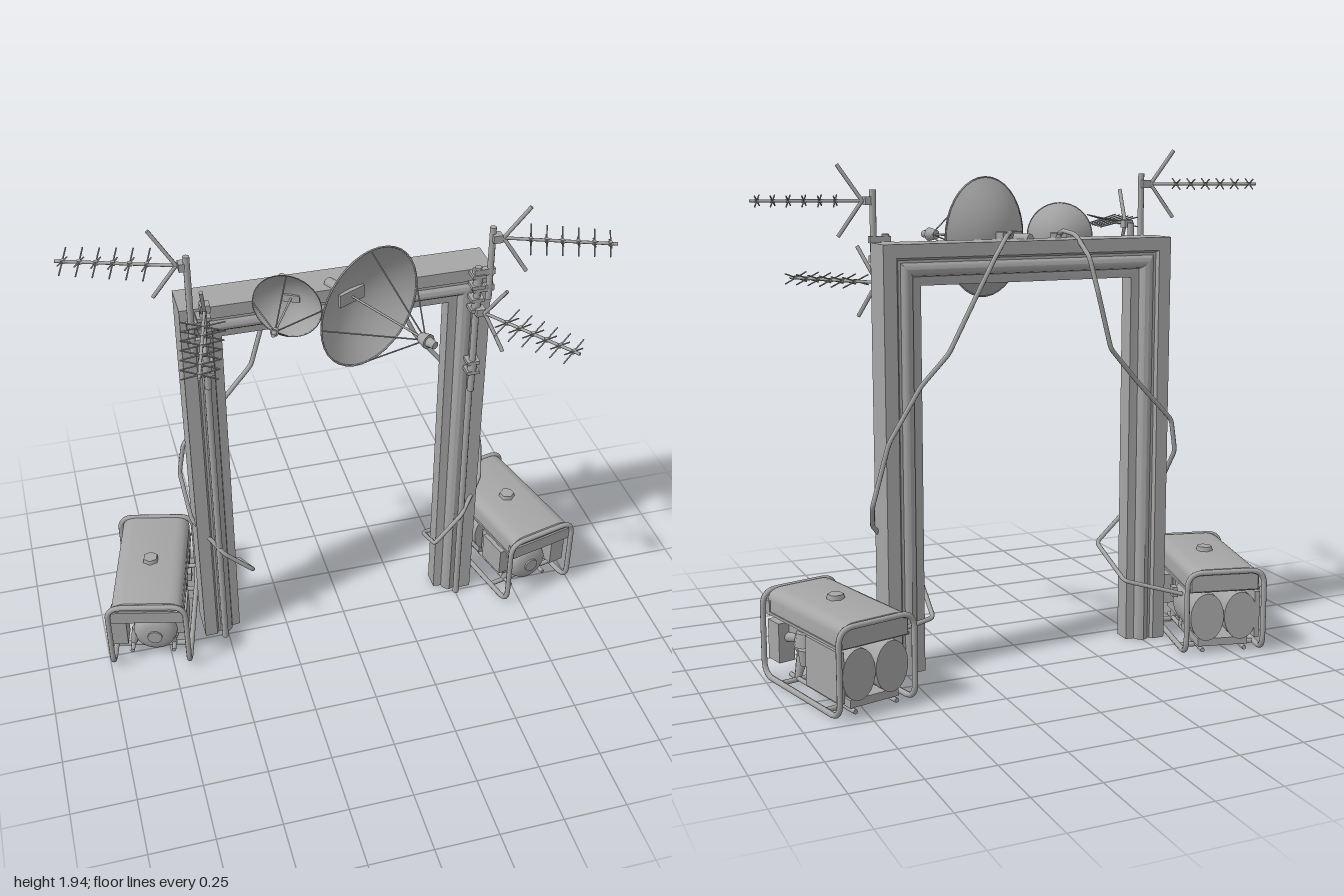
import * as THREE from 'three';
import { toCreasedNormals } from 'three/addons/utils/BufferGeometryUtils.js';

const grey = new THREE.MeshStandardMaterial({ color: 0xa6a6a6 });
grey.name = 'plain grey';
grey.side = THREE.DoubleSide;

const V = (x, y, z) => new THREE.Vector3(x, y, z);
const UP = V(0, 1, 0);

function add(parent, name, geo, x = 0, y = 0, z = 0) {
  const m = new THREE.Mesh(geo, grey);
  m.name = name;
  m.position.set(x, y, z);
  parent.add(m);
  return m;
}
const box = (parent, name, w, h, d, x, y, z) => add(parent, name, new THREE.BoxGeometry(w, h, d), x, y, z);

// Round bar between two points
function rod(parent, name, a, b, r, r2 = r, sides = 8) {
  const d = b.clone().sub(a);
  const m = add(parent, name, new THREE.CylinderGeometry(r2, r, d.length(), sides));
  m.position.copy(a).addScaledVector(d, 0.5);
  m.quaternion.setFromUnitVectors(UP, d.normalize());
  return m;
}

// Tube along straight runs with rounded corners
function bentTube(parent, name, pts, radius, bend, closed, segments) {
  const path = new THREE.CurvePath(), n = pts.length;
  const toward = (p, q) => p.clone().add(q.clone().sub(p).setLength(Math.min(bend, p.distanceTo(q) * 0.45)));
  let cursor = closed ? toward(pts[0], pts[1]) : pts[0];
  for (let i = 1; i <= (closed ? n : n - 2); i++) {
    const p = pts[i % n];
    const inP = toward(p, pts[i - 1]), outP = toward(p, pts[(i + 1) % n]);
    path.add(new THREE.LineCurve3(cursor, inP));
    path.add(new THREE.QuadraticBezierCurve3(inP, p, outP));
    cursor = outP;
  }
  if (!closed) path.add(new THREE.LineCurve3(cursor, pts[n - 1]));
  return add(parent, name, new THREE.TubeGeometry(path, segments, radius, 8, closed));
}

// Moulded door frame: one section swept along a mitred arch
function doorFrame(parent) {
  const L = -0.595, R = 0.572, T = 1.612, F = -0.012, B = -0.155;
  const half = [[0, 0], [0.05, 0], [0.058, 0.014], [0.068, 0.014], [0.078, 0.004], [0.092, 0],
    [0.106, 0.006], [0.116, 0.018], [0.12, 0.032], [0.153, 0.036]];
  const sec = [...half.map(([u, d]) => [u, F - d]), ...half.slice().reverse().map(([u, d]) => [u, B + d])];
  const stations = [u => [L + u, 0], u => [L + u, T - u], u => [R - u, T - u], u => [R - u, 0]];
  const P = (k, [u, z]) => [...stations[k](u), z];
  const pos = [], mid = [0.05, (F + B) / 2];
  sec.forEach((s, i) => {
    const t = sec[(i + 1) % sec.length];
    for (let k = 0; k < 3; k++) {
      const [a, b, c, d] = [P(k, s), P(k, t), P(k + 1, t), P(k + 1, s)];
      pos.push(...a, ...b, ...c, ...a, ...c, ...d);
    }
    pos.push(...P(0, mid), ...P(0, t), ...P(0, s), ...P(3, mid), ...P(3, s), ...P(3, t));
  });
  const g = new THREE.BufferGeometry();
  g.setAttribute('position', new THREE.Float32BufferAttribute(pos, 3));
  add(parent, 'doorFrame', toCreasedNormals(g, 0.6));
}

// Bowl dish with four stays, feed horn and wall bracket; faces local +z
function dish(parent, name, centre, R, depth, reach, yaw) {
  const g = new THREE.Group();
  g.name = name;
  g.position.copy(centre);
  g.rotation.y = yaw;
  parent.add(g);
  const prof = [];
  for (let i = 0; i <= 10; i++) prof.push(new THREE.Vector2(Math.max(R * i / 10, 0.0005), depth * ((i / 10) ** 2 - 1)));
  add(g, 'bowl', new THREE.LatheGeometry(prof, 36)).rotation.x = Math.PI / 2;
  add(g, 'rim', new THREE.TorusGeometry(R, R * 0.015, 6, 36));
  for (let i = 0; i < 4; i++) {
    const a = i * Math.PI / 2;
    rod(g, 'stay', V(R * Math.cos(a), R * Math.sin(a), 0), V(0, 0, reach), 0.0028, 0.0028, 5);
  }
  rod(g, 'feedRod', V(0, 0, -depth), V(0, 0, reach), 0.004);
  rod(g, 'feedHorn', V(0, 0, reach - R * 0.11), V(0, 0, reach + R * 0.06), R * 0.08, R * 0.12, 12);
  rod(g, 'feedCap', V(0, 0, reach + R * 0.06), V(0, 0, reach + R * 0.2), R * 0.08, R * 0.06, 12);
  box(g, 'bracket', R * 0.5, R * 0.22, R * 0.2, 0, 0, -depth - R * 0.02);
  rod(g, 'arm', V(0, 0, -depth), V(0, 0, -depth - R * 0.5), R * 0.09);
}

// Aerial: boom, crossed elements and a V reflector
function aerial(parent, base, tip) {
  const g = new THREE.Group();
  g.name = 'aerial';
  parent.add(g);
  const dir = tip.clone().sub(base).normalize(), len = base.distanceTo(tip);
  const side = V(-dir.z, 0, dir.x);
  const at = (d, s, h) => base.clone().addScaledVector(dir, d).addScaledVector(side, s).setY(base.y + h);
  rod(g, 'boom', base, tip, 0.006);
  for (let i = 0; i < 6; i++) {
    const d = len * (0.3 + 0.128 * i), w = 0.077 - 0.003 * i;
    for (const s of [-1, 1]) rod(g, 'element', at(d, -w, -0.019 * s), at(d, w, 0.019 * s), 0.0028, 0.0028, 5);
    box(g, 'elementClip', 0.014, 0.014, 0.014, ...at(d, 0, 0).toArray());
  }
  for (const s of [-1, 1]) rod(g, 'reflector', at(0.035, 0, 0), at(0.125, 0, 0.13 * s), 0.0075, 0.0075, 6);
  box(g, 'boomClamp', 0.035, 0.03, 0.035, ...at(0.012, 0, 0).toArray());
}

// Masts strapped to the front of one post
function masts(parent, s, x, tall, upper, clamps) {
  rod(parent, 'conduit', V(s * x, 0, 0.008), V(s * x, tall[0], 0.008), 0.013, 0.013, 10);
  rod(parent, 'lowerMast', V(s * x, tall[0], 0.022), V(s * x, tall[1], 0.022), 0.013, 0.013, 10);
  rod(parent, 'upperMast', V(s * (x + 0.045), upper[0], 0.025), V(s * (x + 0.045), upper[1], 0.025), 0.012, 0.012, 10);
  for (const y of clamps) {
    box(parent, 'mastClamp', 0.05, 0.014, 0.05, s * x, y, 0.015);
    box(parent, 'mastClamp', 0.05, 0.014, 0.05, s * x, y + 0.045, 0.015);
    rod(parent, 'clampSleeve', V(s * x, y, 0.022), V(s * x, y + 0.045, 0.022), 0.018, 0.018, 10);
  }
  box(parent, 'mastBridge', 0.08, 0.025, 0.025, s * (x + 0.022), upper[0] + 0.05, 0.022);
  box(parent, 'mastBridge', 0.08, 0.025, 0.025, s * (x + 0.022), upper[0] + 0.12, 0.022);
}

// Portable generator; s = 1 has its outer side on +x
function generator(parent, s) {
  const g = new THREE.Group();
  g.name = s > 0 ? 'leftGenerator' : 'rightGenerator';
  g.position.set(s * 0.775, 0, -0.165);
  g.rotation.y = s * 0.24;
  parent.add(g);
  const w = 0.155, l = 0.273, b = 0.012, h = 0.335;
  bentTube(g, 'tubeFrame', [V(-w, b, -l), V(-w, b, l), V(-w, h, l), V(w, h, l), V(w, b, l), V(w, b, -l),
    V(w, h, -l), V(-w, h, -l)], 0.011, 0.06, true, 220);
  for (const z of [-0.17, 0.15]) rod(g, 'crossBar', V(-w, b, z), V(w, b, z), 0.01);

  // Fuel tank
  const a = 0.14, t = new THREE.Shape();
  t.moveTo(-a, 0.25); t.lineTo(a, 0.25); t.lineTo(a, 0.305);
  t.quadraticCurveTo(a, 0.338, a - 0.05, 0.345);
  t.lineTo(-a + 0.05, 0.345);
  t.quadraticCurveTo(-a, 0.338, -a, 0.305);
  t.closePath();
  const tank = new THREE.ExtrudeGeometry(t, { depth: 0.5, bevelEnabled: true, bevelSize: 0.006, bevelThickness: 0.012,
    bevelOffset: -0.006, bevelSegments: 2, curveSegments: 5 });
  add(g, 'fuelTank', toCreasedNormals(tank, 0.6), 0, 0, -0.25);
  box(g, 'tankSeam', 0.29, 0.01, 0.51, 0, 0.255, 0);
  add(g, 'fuelCap', new THREE.CylinderGeometry(0.03, 0.034, 0.018, 6), 0, 0.353, 0.005);
  box(g, 'controlPanel', 0.29, 0.055, 0.03, 0, 0.275, 0.255);

  // Twin drums at the back with the outer cover
  for (const k of [-1, 1]) {
    const d = add(g, 'drum', new THREE.CylinderGeometry(0.067, 0.067, 0.24, 24), k * 0.068, 0.15, -0.14);
    d.rotation.x = Math.PI / 2;
    d.scale.z = 1.42;
  }
  box(g, 'drumCover', 0.02, 0.185, 0.235, s * 0.135, 0.15, -0.14);
  box(g, 'drumBed', 0.2, 0.03, 0.22, 0, 0.045, -0.14);

  // Engine
  box(g, 'engineBlock', 0.17, 0.15, 0.17, -s * 0.02, 0.14, 0.08);
  const dome = [[0.088, 0], [0.088, 0.05], [0.078, 0.072], [0.05, 0.084], [0.0005, 0.088]].map(p => new THREE.Vector2(...p));
  add(g, 'starterHousing', new THREE.LatheGeometry(dome, 24), -s * 0.02, 0.14, 0.155).rotation.x = Math.PI / 2;
  add(g, 'starterHub', new THREE.CylinderGeometry(0.03, 0.03, 0.012, 12), -s * 0.02, 0.14, 0.242).rotation.x = Math.PI / 2;
  box(g, 'engineHood', 0.23, 0.05, 0.16, 0, 0.215, 0.13);
  box(g, 'airFilter', 0.065, 0.15, 0.08, s * 0.125, 0.165, 0.19);
  box(g, 'silencer', 0.05, 0.12, 0.13, -s * 0.125, 0.17, 0.13);
  add(g, 'carburettor', new THREE.CylinderGeometry(0.035, 0.045, 0.05, 8), s * 0.1, 0.2, 0.055);
  add(g, 'carburettorBowl', new THREE.CylinderGeometry(0.03, 0.022, 0.06, 10), s * 0.1, 0.13, 0.055);
  rod(g, 'intakePipe', V(s * 0.1, 0.2, 0.055), V(s * 0.12, 0.18, 0.17), 0.018);
  for (const k of [-1, 1]) {
    rod(g, 'engineLeg', V(k * 0.06, 0.1, 0.15), V(k * 0.085, 0.015, 0.15), 0.025, 0.012);
    rod(g, 'engineLeg', V(k * 0.06, 0.1, 0.03), V(k * 0.085, 0.015, 0.03), 0.025, 0.012);
    rod(g, 'bedRail', V(k * 0.085, 0.018, -0.26), V(k * 0.085, 0.018, 0.2), 0.009);
  }
  box(g, 'socket', 0.02, 0.04, 0.04, -s * 0.145, 0.2, -0.06);
}

export function createModel() {
  const root = new THREE.Group();
  root.name = 'antennaGate';
  doorFrame(root);

  dish(root, 'largeDish', V(0.06, 1.612, 0.135), 0.228, 0.11, 0.28, 0.464);
  dish(root, 'smallDish', V(-0.222, 1.615, 0.06), 0.126, 0.062, 0.165, -0.49);

  masts(root, -1, 0.515, [1.29, 1.66], [1.45, 1.85], [1.36, 1.55]);
  masts(root, 1, 0.503, [1.09, 1.64], [1.5, 1.8], [1.18, 1.46, 1.56]);
  aerial(root, V(-0.56, 1.81, 0.02), V(-0.99, 1.81, -0.13));
  aerial(root, V(-0.51, 1.655, 0.04), V(-0.61, 1.655, 0.47));
  aerial(root, V(0.55, 1.76, 0.03), V(0.96, 1.76, 0.19));
  aerial(root, V(0.505, 1.46, 0.03), V(0.76, 1.46, 0.4));

  // Cables from the dishes, behind the posts, round the outside and in to the generators
  bentTube(root, 'leftCable', [V(0, 1.61, 0.02), V(0.03, 1.64, -0.04), V(0.1, 1.63, -0.16), V(0.17, 1.57, -0.23),
    V(0.24, 1.45, -0.24), V(0.35, 1.22, -0.215), V(0.45, 1.1, -0.185), V(0.57, 0.9, -0.175), V(0.63, 0.67, -0.16),
    V(0.6, 0.57, -0.06), V(0.5, 0.46, 0.03), V(0.385, 0.33, 0.035), V(0.4, 0.22, -0.16), V(0.63, 0.2, -0.23)], 0.009, 0.02, false, 240);
  bentTube(root, 'rightCable', [V(-0.185, 1.61, 0), V(-0.187, 1.64, -0.03), V(-0.195, 1.63, -0.13), V(-0.215, 1.55, -0.21),
    V(-0.24, 1.42, -0.235), V(-0.31, 1.2, -0.21), V(-0.44, 1.06, -0.19), V(-0.6, 0.9, -0.175), V(-0.625, 0.77, -0.165),
    V(-0.605, 0.6, -0.07), V(-0.5, 0.48, 0.03), V(-0.385, 0.37, 0.035), V(-0.41, 0.26, -0.16), V(-0.63, 0.2, -0.24)], 0.009, 0.02, false, 240);

  generator(root, 1);
  generator(root, -1);
  return root;
}
